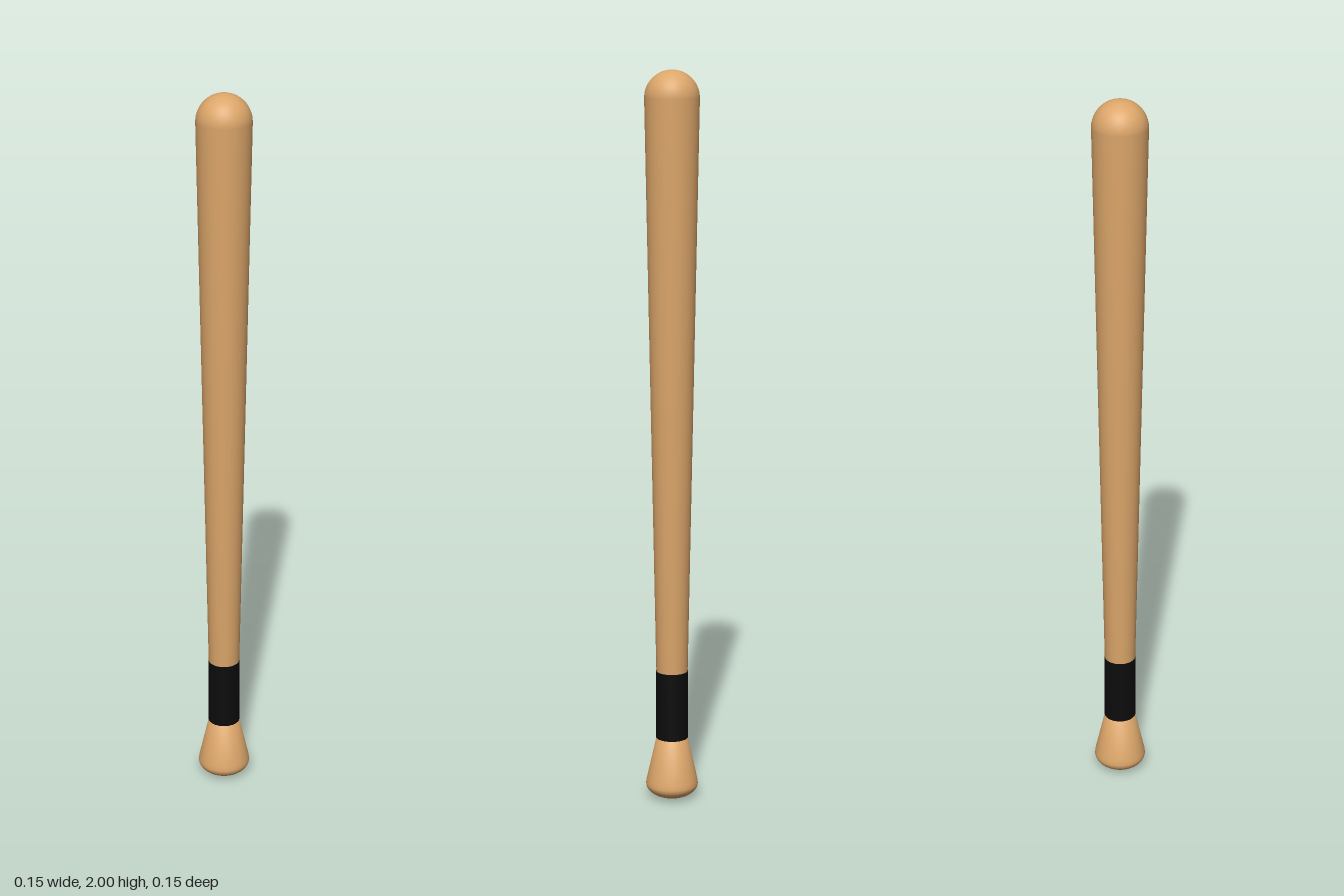
import * as THREE from 'three';

const SEGMENTS = 48;

// Elliptical quarter arc from angle a0 to a1 around (0, cy).
function arc(cy, rx, ry, a0, a1, steps = 12) {
  return Array.from({ length: steps + 1 }, (_, i) => {
    const a = a0 + ((a1 - a0) * i) / steps;
    return new THREE.Vector2(Math.max(0, rx * Math.cos(a)), cy + ry * Math.sin(a));
  });
}

export function createModel() {
  const group = new THREE.Group();
  const wood = new THREE.MeshStandardMaterial({ color: 0xdca66a });
  const black = new THREE.MeshStandardMaterial({ color: 0x0c0c0c });

  const add = (name, geometry, material) => {
    const mesh = new THREE.Mesh(geometry, material);
    mesh.name = name;
    group.add(mesh);
  };

  // Tapered barrel with a hemispherical end
  const barrel = [
    new THREE.Vector2(0, 0.3),
    new THREE.Vector2(0.042, 0.3),
    ...arc(1.927, 0.073, 0.073, 0, Math.PI / 2),
  ];
  add('barrel', new THREE.LatheGeometry(barrel, SEGMENTS), wood);

  // Straight grip wrap
  const grip = new THREE.CylinderGeometry(0.044, 0.044, 0.192, SEGMENTS);
  grip.translate(0, 0.269, 0);
  add('gripWrap', grip, black);

  // Flared knob with a rounded bottom
  const knob = [
    ...arc(0.04, 0.072, 0.04, -Math.PI / 2, 0),
    new THREE.Vector2(0.0705, 0.052),
    new THREE.Vector2(0.043, 0.174),
    new THREE.Vector2(0, 0.174),
  ];
  add('knob', new THREE.LatheGeometry(knob, SEGMENTS), wood);

  return group;
}
